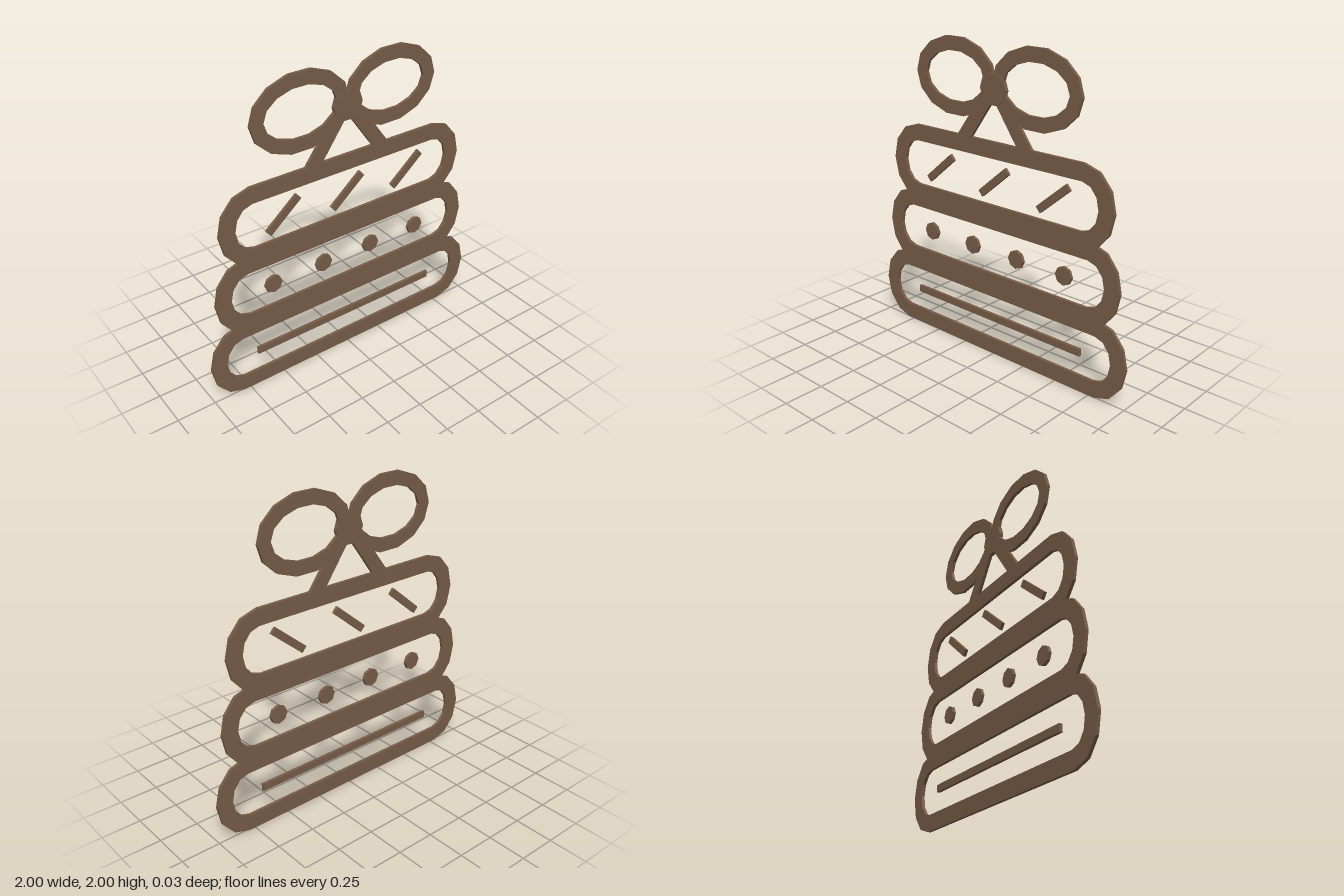
import * as THREE from 'three';

const BACK = -0.0125, THICK = 0.02;

export function createModel() {
  const model = new THREE.Group();
  model.name = 'cakeSign';
  const material = new THREE.MeshStandardMaterial({ color: 0x775c47, flatShading: true });

  // Extrude a flat outline (with an optional hole) into a thin plate
  function plate(name, outline, hole, depth = THICK) {
    const shape = new THREE.Shape(outline);
    if (hole) shape.holes.push(new THREE.Path(hole));
    const geometry = new THREE.ExtrudeGeometry(shape, { depth, bevelEnabled: false });
    geometry.translate(0, 0, BACK);
    const mesh = new THREE.Mesh(geometry, material);
    mesh.name = name;
    model.add(mesh);
    return mesh;
  }

  // Polygonal ellipse
  function ellipse(cx, cy, rx, ry, sides) {
    return Array.from({ length: sides }, (_, i) => {
      const a = (i / sides) * Math.PI * 2;
      return new THREE.Vector2(cx + rx * Math.cos(a), cy + ry * Math.sin(a));
    });
  }

  // Bar with half-elliptical ends, six segments each
  function pill(cy, straight, rx, ry) {
    const points = [];
    for (const side of [1, -1]) {
      for (let i = 0; i <= 6; i++) {
        const a = -Math.PI / 2 + (i / 6) * Math.PI;
        points.push(new THREE.Vector2(side * (straight + rx * Math.cos(a)), cy + side * ry * Math.sin(a)));
      }
    }
    return points;
  }

  function bar(name, x, y, length, width, angle) {
    const mesh = new THREE.Mesh(new THREE.BoxGeometry(length, width, THICK), material);
    mesh.position.set(x, y, BACK + THICK / 2);
    mesh.rotation.z = angle;
    mesh.name = name;
    model.add(mesh);
  }

  // Cake tiers: [name, centre y, outer straight, outer rx, inner straight, inner rx]
  const tiers = [
    ['bottomTier', 0.2525, 0.79, 0.21, 0.78, 0.115],
    ['middleTier', 0.705, 0.735, 0.2, 0.71, 0.12],
    ['topTier', 1.157, 0.658, 0.217, 0.652, 0.118],
  ];
  for (const [name, y, so, ro, si, ri] of tiers) {
    plate(name, pill(y, so, ro, 0.2525), pill(y, si, ri, 0.147));
  }

  // Decorations inside the tiers
  bar('bottomStripe', 0, 0.253, 1.354, 0.047, 0);
  [-0.542, -0.18, 0.18, 0.542].forEach((x) => plate('dot', ellipse(x, 0.705, 0.059, 0.059, 8)));
  [-0.452, 0, 0.452].forEach((x) => bar('slantedStripe', x, 1.156, 0.278, 0.047, 0.703));

  // Bow loops and ribbon tails, mirrored
  for (const side of [1, -1]) {
    const label = side > 0 ? 'left' : 'right';
    plate(label + 'BowLoop',
      ellipse(side * 0.313, 1.762, 0.325, 0.2425, 14),
      ellipse(side * 0.313, 1.762, 0.24, 0.155, 14));
    const tail = [[0, 1.665], [0.19, 1.395], [0.303, 1.395], [0.107, 1.665]];
    plate(label + 'RibbonTail', tail.map(([x, y]) => new THREE.Vector2(side * x, y)));
  }

  // Knot, standing slightly proud of the front
  plate('bowKnot', ellipse(0, 1.725, 0.1, 0.1, 10), null, 0.025);

  return model;
}
